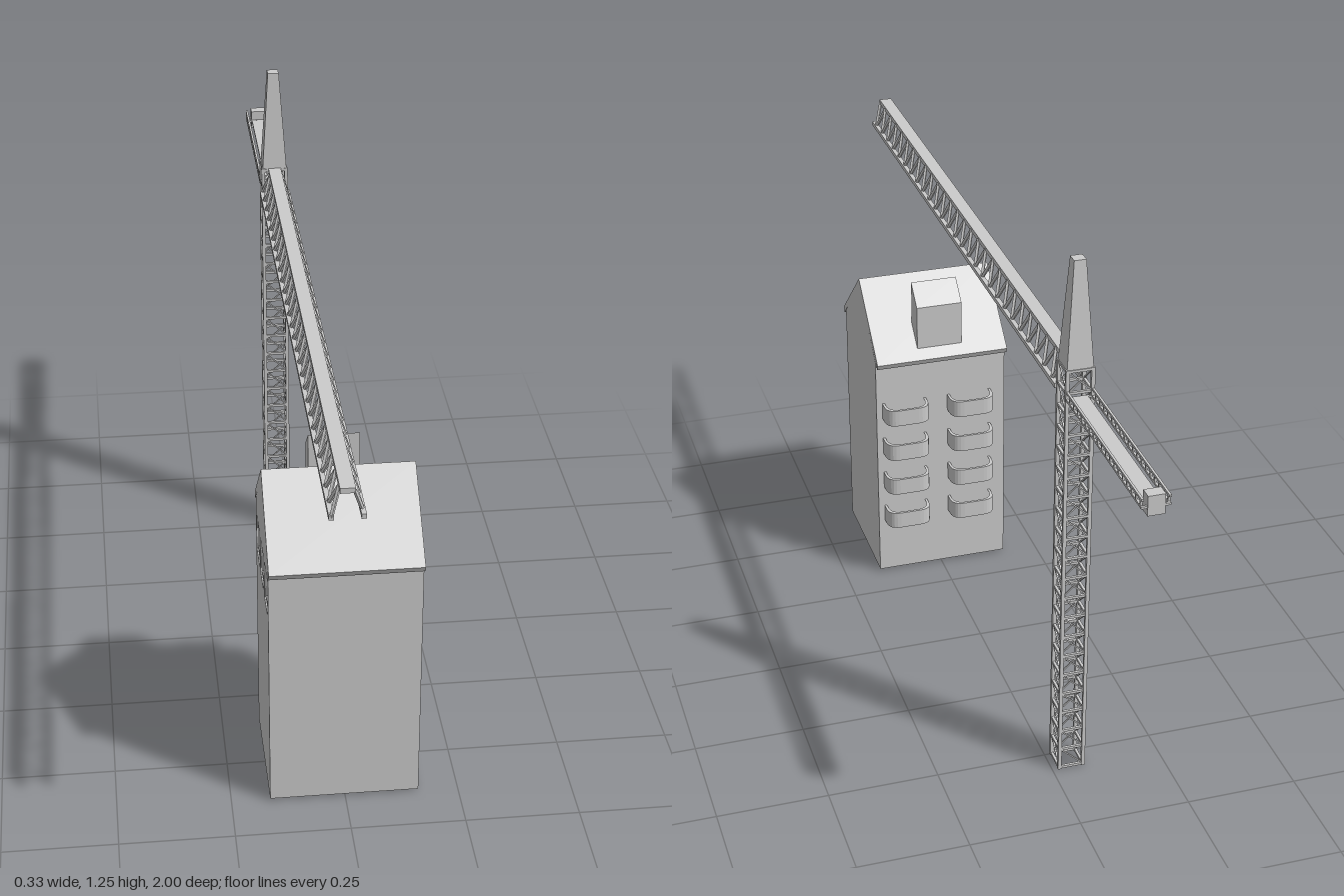
import * as THREE from 'three';
import { mergeGeometries } from 'three/addons/utils/BufferGeometryUtils.js';

const CX = -0.044, CZ = -0.528; // crane axis
const mat = new THREE.MeshStandardMaterial({ color: 0xcccccc, flatShading: true });

function mesh(name, geometry) {
  const m = new THREE.Mesh(geometry, mat);
  m.name = name;
  return m;
}
const V = (x, y, z) => new THREE.Vector3(x, y, z);

// square bar running from a to b
function bar(a, b, t) {
  const d = b.clone().sub(a);
  const up = Math.abs(d.clone().normalize().y) > 0.99 ? V(0, 0, 1) : V(0, 1, 0);
  const m = new THREE.Matrix4().lookAt(b, a, up);
  m.setPosition(a.clone().add(b).multiplyScalar(0.5));
  return new THREE.BoxGeometry(t, t, d.length()).applyMatrix4(m);
}
function box(x0, x1, y0, y1, z0, z1) {
  return new THREE.BoxGeometry(x1 - x0, y1 - y0, z1 - z0)
    .translate((x0 + x1) / 2, (y0 + y1) / 2, (z0 + z1) / 2);
}
function polygon(pts, Type = THREE.Shape) {
  return new Type(pts.map(p => new THREE.Vector2(p[0], p[1])));
}
const rect = (u, v, w, h) => [[u - w / 2, v - h / 2], [u + w / 2, v - h / 2], [u + w / 2, v + h / 2], [u - w / 2, v + h / 2]];

// extrude a (z, y) outline from x0 down to x1
function extrudeX(shape, x0, x1) {
  return new THREE.ExtrudeGeometry(shape, { depth: x0 - x1, bevelEnabled: false })
    .rotateY(-Math.PI / 2).translate(x0, 0, 0);
}

function createBuilding() {
  const g = new THREE.Group();
  g.name = 'building';
  const X0 = 0.162, X1 = -0.165;
  const gable = [[0.343, 0.005], [0.638, 0.005], [0.638, 0.6], [0.49, 0.742], [0.343, 0.6]];
  g.add(mesh('walls', extrudeX(polygon(gable), X0, X1 + 0.008)));

  // outer skin of the side wall, with three window openings
  const skin = polygon(gable);
  const windows = [0.393, 0.49, 0.587];
  const frames = [];
  for (const z of windows) {
    skin.holes.push(polygon(rect(z, 0.52, 0.076, 0.09), THREE.Path));
    const frame = polygon(rect(z, 0.52, 0.064, 0.078));
    frame.holes.push(polygon(rect(z, 0.52, 0.05, 0.064), THREE.Path));
    frames.push(extrudeX(frame, X1 + 0.008, X1 + 0.002));
  }
  g.add(mesh('windowWall', extrudeX(skin, X1 + 0.008, X1)));
  g.add(mesh('windowFrames', mergeGeometries(frames)));

  // folded roof with overhanging eaves
  const roof = [[0.66, 0.6], [0.49, 0.756], [0.32, 0.6], [0.326, 0.587], [0.49, 0.738], [0.654, 0.587]];
  g.add(mesh('roof', extrudeX(polygon(roof), X0, X1)));
  // roof box with a sloping top
  g.add(mesh('roofBox', extrudeX(polygon([[0.343, 0.605], [0.393, 0.64], [0.393, 0.776], [0.343, 0.73]]), 0.056, -0.056)));

  // balconies: floor plus a parapet with rounded outer corners
  const outline = (w, d, Type) => {
    const r = 0.03, s = new Type();
    s.moveTo(-w, 0);
    s.lineTo(-w, d - r);
    s.quadraticCurveTo(-w, d, -w + r, d);
    s.lineTo(w - r, d);
    s.quadraticCurveTo(w, d, w, d - r);
    s.lineTo(w, 0);
    return s;
  };
  const floor = outline(0.055, 0.049, THREE.Shape);
  const rim = outline(0.055, 0.049, THREE.Shape);
  const inner = new THREE.Path(outline(0.049, 0.043, THREE.Path).getPoints(6).map(p => p.setY(Math.max(p.y, 0.001))));
  rim.holes.push(inner);
  const parts = [];
  for (const x of [0.092, -0.073]) {
    for (let i = 0; i < 4; i++) {
      for (const [shape, h] of [[floor, 0.006], [rim, 0.042]]) {
        parts.push(new THREE.ExtrudeGeometry(shape, { depth: h, bevelEnabled: false, curveSegments: 6 })
          .rotateX(-Math.PI / 2).translate(x, 0.15 + i * 0.097, 0.344));
      }
    }
  }
  g.add(mesh('balconies', mergeGeometries(parts)));
  return g;
}

function createMast() {
  const g = new THREE.Group();
  g.name = 'mast';
  const r = 0.0275, bays = 20, top = 1.005, step = (top - 0.004) / bays;
  const corner = (i, y) => {
    const [sx, sz] = [[-1, 1], [1, 1], [1, -1], [-1, -1]][i % 4];
    return V(CX + sx * r, y, CZ + sz * r);
  };
  const posts = [], rungs = [], braces = [];
  for (let i = 0; i < 4; i++) {
    posts.push(bar(corner(i, 0), corner(i, top + 0.004), 0.008));
    for (let k = 0; k <= bays; k++) {
      const y = 0.004 + k * step;
      rungs.push(bar(corner(i, y), corner(i + 1, y), 0.006));
      if (k < bays) braces.push(bar(corner(i, y + step), corner(i + 1, y), 0.003));
    }
  }
  g.add(mesh('mastPosts', mergeGeometries(posts)));
  g.add(mesh('mastRungs', mergeGeometries(rungs)));
  g.add(mesh('mastBraces', mergeGeometries(braces)));

  // tapered tower head
  const head = new THREE.CylinderGeometry(0.013 * Math.SQRT2, 0.029 * Math.SQRT2, 0.24, 4)
    .rotateY(Math.PI / 4).translate(CX, 1.125, CZ);
  g.add(mesh('towerHead', head));
  return g;
}

function createJib() {
  const g = new THREE.Group();
  g.name = 'jib';
  const z0 = -0.5, z1 = 1, bays = 27, step = (z1 - z0) / bays;
  const yLow = 0.946, yTop = 1.003, low = 0.031, high = 0.013;
  g.add(mesh('topChord', box(CX - 0.015, CX + 0.015, yTop - 0.005, yTop + 0.006, z0, z1)));
  const chords = [], lattice = [];
  for (const s of [-1, 1]) {
    chords.push(bar(V(CX + s * low, yLow, z0), V(CX + s * low, yLow, z1), 0.01));
    // zigzag side panel, out of step with the other side
    const point = k => {
      const up = (k % 2 === 0) === (s > 0);
      return V(CX + s * (up ? high : low), up ? yTop : yLow, Math.min(z0 + 0.003 + k * step / 2, z1 - 0.003));
    };
    for (let k = 0; k < bays * 2; k++) lattice.push(bar(point(k), point(k + 1), 0.006));
  }
  g.add(mesh('bottomChords', mergeGeometries(chords)));
  g.add(mesh('jibLattice', mergeGeometries(lattice)));
  return g;
}

function createCounterJib() {
  const g = new THREE.Group();
  g.name = 'counterJib';
  const z0 = CZ - 0.028, z1 = -0.99, posts = 18;
  g.add(mesh('walkway', box(CX - 0.017, CX + 0.017, 0.939, 0.945, -0.968, z0)));
  const rails = [], uprights = [], ties = [];
  for (const s of [-1, 1]) {
    const x = CX + s * 0.028;
    for (const y of [0.942, 0.959]) rails.push(bar(V(x, y, z0), V(x, y, z1 - 0.008), 0.005));
    for (let k = 0; k <= posts; k++) {
      const z = z0 + (z1 - z0) * k / posts;
      uprights.push(bar(V(x, 0.942, z), V(x, 0.959, z), 0.005));
    }
  }
  for (const z of [z0, -0.972, -0.996]) ties.push(bar(V(CX - 0.028, 0.942, z), V(CX + 0.028, 0.942, z), 0.005));
  g.add(mesh('rails', mergeGeometries(rails)));
  g.add(mesh('railPosts', mergeGeometries(uprights)));
  g.add(mesh('crossTies', mergeGeometries(ties)));
  g.add(mesh('counterweight', box(CX - 0.018, CX + 0.018, 0.923, 0.967, -1, -0.973)));
  return g;
}

export function createModel() {
  const model = new THREE.Group();
  model.name = 'buildingWithCrane';
  const crane = new THREE.Group();
  crane.name = 'crane';
  crane.add(createMast(), createJib(), createCounterJib());
  model.add(createBuilding(), crane);
  return model;
}
